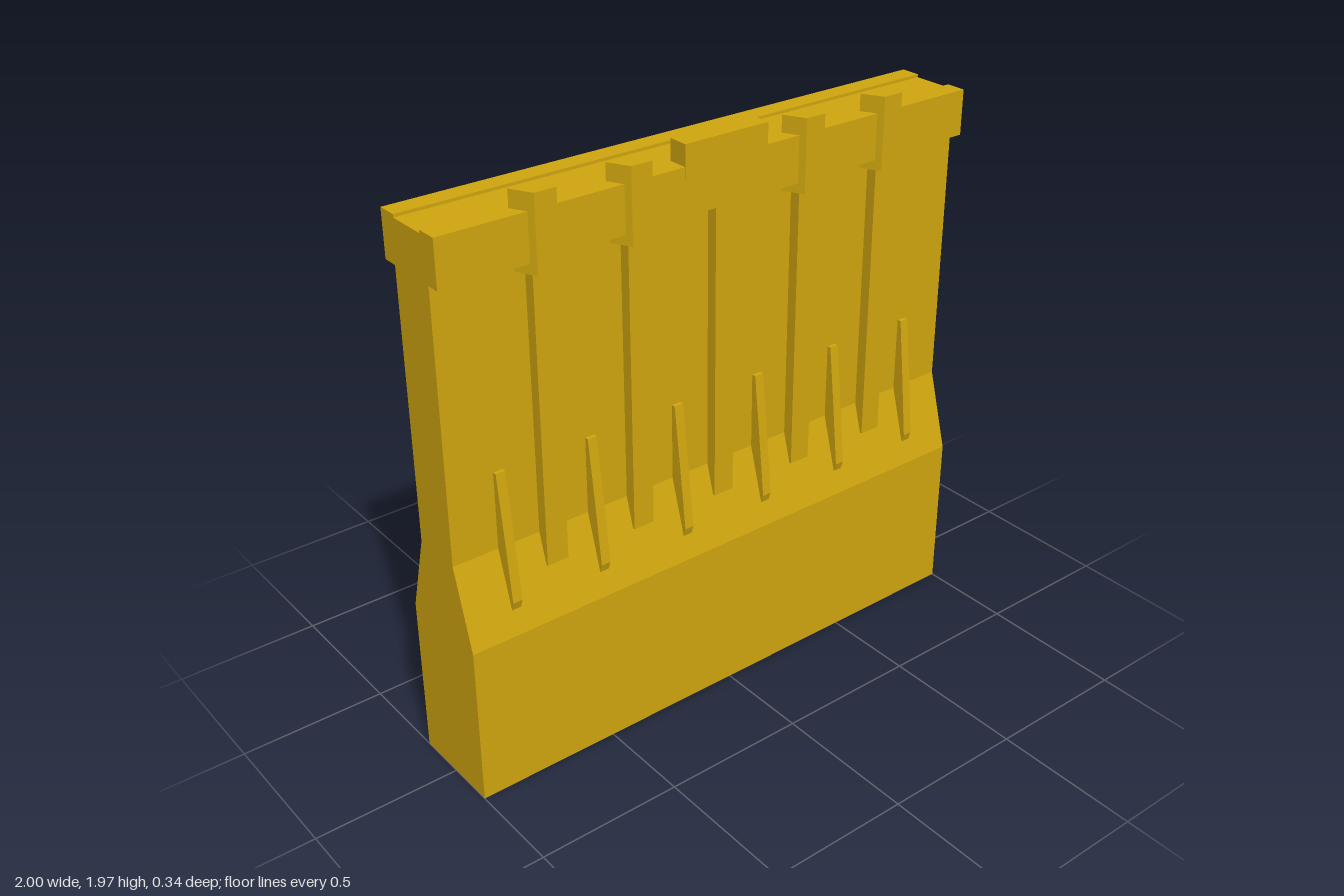
import * as THREE from 'three';

export function createModel() {
  const group = new THREE.Group();
  const ochre = new THREE.MeshStandardMaterial({ color: 0xcfa50f });
  ochre.name = 'ochre';

  const add = (geometry, name) => {
    const mesh = new THREE.Mesh(geometry, ochre);
    mesh.name = name;
    group.add(mesh);
    return mesh;
  };
  const box = (name, x0, x1, y0, y1, z0, z1) => {
    const mesh = add(new THREE.BoxGeometry(x1 - x0, y1 - y0, z1 - z0), name);
    mesh.position.set((x0 + x1) / 2, (y0 + y1) / 2, (z0 + z1) / 2);
  };
  // Extrudes a [z, y] outline along x, centred on x
  const alongX = (name, outline, x, width) => {
    const shape = new THREE.Shape(outline.map(([z, y]) => new THREE.Vector2(-z, y)));
    const geometry = new THREE.ExtrudeGeometry(shape, { depth: width, bevelEnabled: false });
    geometry.rotateY(Math.PI / 2).translate(x - width / 2, 0, 0);
    add(geometry, name);
  };

  // Wall with thick plinth, sloped shoulder, overhanging cap and shallow top groove
  alongX('wall', [
    [0.17, 0], [0.17, 0.56], [0.09, 0.835], [0.09, 1.74], [0.135, 1.74], [0.135, 1.895],
    [0.065, 1.895], [0.065, 1.885], [-0.075, 1.885], [-0.075, 1.895], [-0.143, 1.895],
    [-0.143, 1.74], [-0.09, 1.74], [-0.09, 0.835], [-0.17, 0.56], [-0.17, 0],
  ], 0, 2);

  for (const side of [1, -1]) {
    // Upright ribs under the cap
    for (const x of [-0.656, -0.326, 0, 0.332, 0.66]) {
      const [z0, z1] = side > 0 ? [0.08, 0.128] : [-0.128, -0.08];
      box('rib', x - 0.038, x + 0.038, 0.73, 1.745, z0, z1);
    }
    // Thin slanted fins running down onto the shoulder
    const fin = [[0.08, 1.1], [0.104, 1.1], [0.128, 0.91], [0.156, 0.67], [0.145, 0.635], [0.08, 0.635]];
    for (const x of [-0.825, -0.497, -0.165, 0.165, 0.495, 0.823]) {
      alongX('fin', fin.map(([z, y]) => [z * side, y]), x, 0.033);
    }
  }

  // Raised block in the middle of the cap's front edge
  box('centreBlock', -0.16, 0.155, 1.86, 1.965, 0.066, 0.136);

  // Tapered clips over the cap's front edge
  for (const x of [-0.657, -0.33, 0.33, 0.657]) {
    const plan = [[-0.075, -0.083], [-0.037, -0.155], [0.037, -0.155], [0.075, -0.083]];
    const shape = new THREE.Shape(plan.map(([px, py]) => new THREE.Vector2(px, py)));
    const geometry = new THREE.ExtrudeGeometry(shape, { depth: 0.245, bevelEnabled: false });
    geometry.rotateX(-Math.PI / 2).translate(x, 1.707, 0);
    add(geometry, 'clip');
  }

  return group;
}
